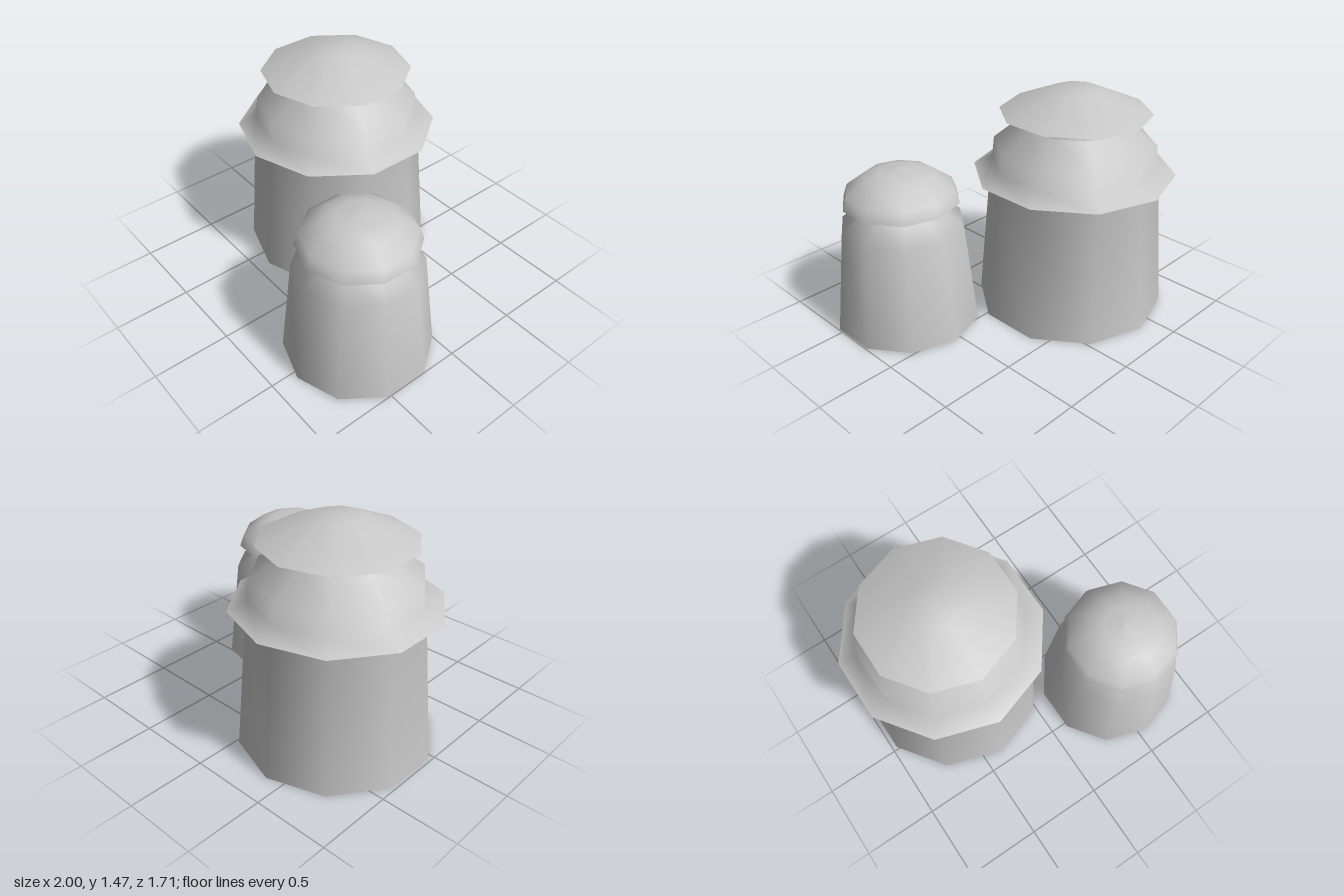
import * as THREE from 'three';

const SIDES = 10;
const stone = new THREE.MeshStandardMaterial({ color: 0xc8c8c8, side: THREE.DoubleSide });
stone.name = 'pale grey';

// Ten-sided turned part; the profile is [radius, height] from bottom to top
function turned(name, profile) {
  const points = profile.map(([r, y]) => new THREE.Vector2(r, y));
  const mesh = new THREE.Mesh(new THREE.LatheGeometry(points, SIDES), stone);
  mesh.name = name;
  return mesh;
}

function tower(name, x, z, parts) {
  const group = new THREE.Group();
  group.name = name;
  group.position.set(x, 0, z);
  for (const [part, profile] of Object.entries(parts)) group.add(turned(part, profile));
  return group;
}

export function createModel() {
  const model = new THREE.Group();
  model.name = 'twoTowers';

  // Large tower: open base, wide eave, shouldered upper storey, low cap
  model.add(tower('largeTower', -0.385, -0.208, {
    wallAndEaveUnderside: [[0.615, 0], [0.541, 0.915], [0.647, 0.93]],
    upperStorey: [[0.647, 0.93], [0.528, 0.993], [0.515, 1.122], [0.333, 1.247], [0.352, 1.303]],
    capUnderside: [[0.352, 1.303], [0.48, 1.322]],
    cap: [[0.48, 1.322], [0.155, 1.465], [0, 1.465]],
  }));

  // Small tower: open base, sloped shoulder, narrow neck, domed cap
  model.add(tower('smallTower', 0.553, 0.383, {
    wallAndNeck: [[0.469, 0.01], [0.392, 0.685], [0.258, 0.772], [0.27, 0.825]],
    capUnderside: [[0.27, 0.825], [0.371, 0.837]],
    cap: [[0.371, 0.837], [0.344, 0.915], [0.226, 1.003], [0.13, 1.033], [0, 1.046]],
  }));

  return model;
}
